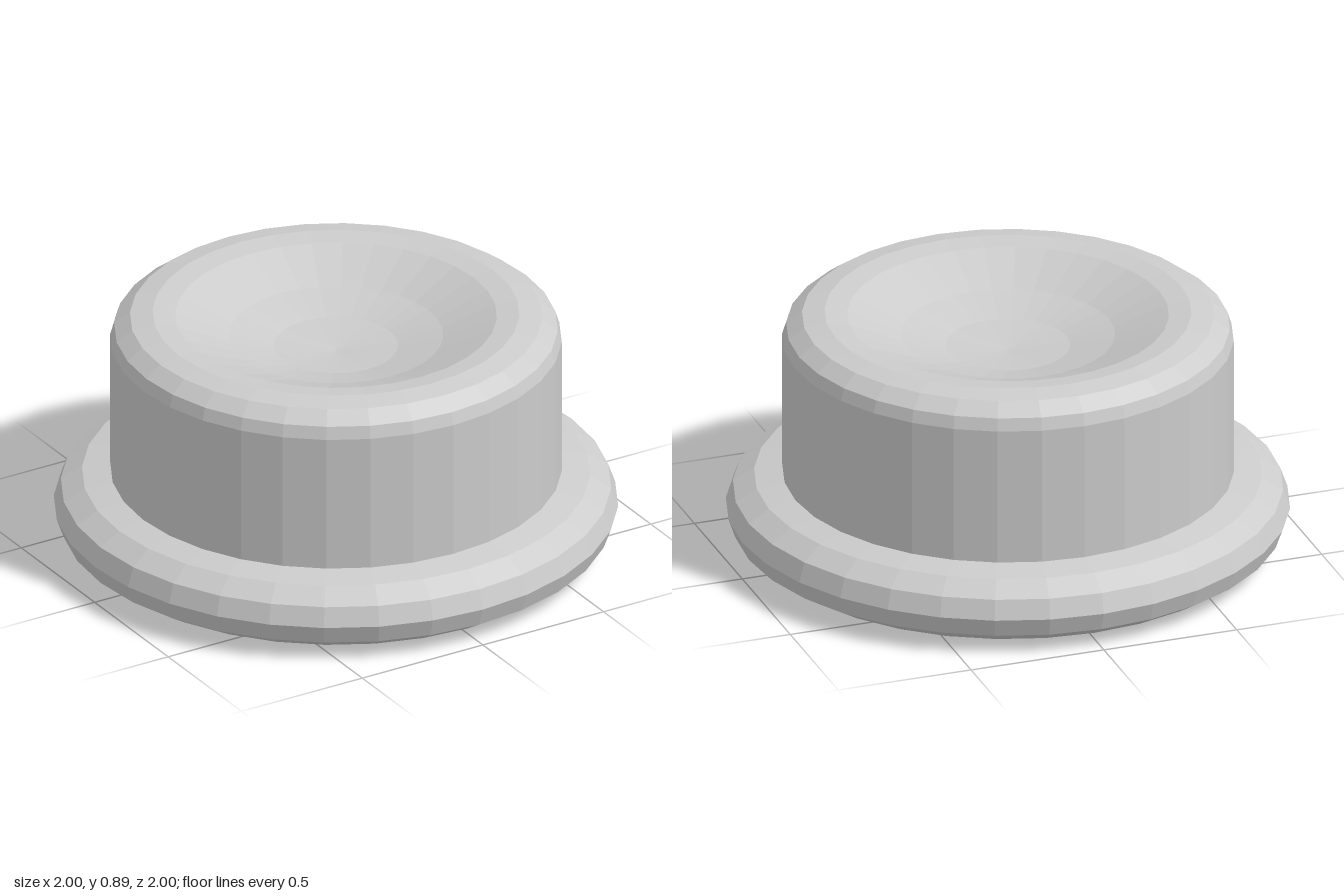
import * as THREE from 'three';

const SIDES = 32;

// Turns a [radius, height] profile, listed from bottom to top, into a faceted round part
function turned(name, profile) {
  const points = profile.map(([r, y]) => new THREE.Vector2(r, y));
  const material = new THREE.MeshStandardMaterial({ color: 0xcccccc, flatShading: true });
  const mesh = new THREE.Mesh(new THREE.LatheGeometry(points, SIDES), material);
  mesh.name = name;
  return mesh;
}

export function createModel() {
  const group = new THREE.Group();
  group.name = 'pushButton';

  // Wide base flange with a rounded rim
  group.add(turned('baseFlange', [
    [0, 0], [0.71, 0], [0.8, 0.005], [0.9, 0.023], [0.975, 0.07], [1, 0.14],
    [0.975, 0.21], [0.9, 0.257], [0.8, 0.275], [0.7, 0.28], [0, 0.28],
  ]));

  // Straight cap with a bevelled shoulder and a shallow finger dish
  const dishRadius = 0.57, dishDepth = 0.14, rimHeight = 0.876;
  const dish = [dishRadius, 0.38, 0.22, 0].map(
    (r) => [r, rimHeight - dishDepth * (1 - (r / dishRadius) ** 2)]);
  group.add(turned('buttonCap', [
    [0.8, 0.25], [0.8, 0.785], [0.786, 0.83], [0.73, 0.872], [0.65, 0.886], ...dish,
  ]));

  return group;
}
